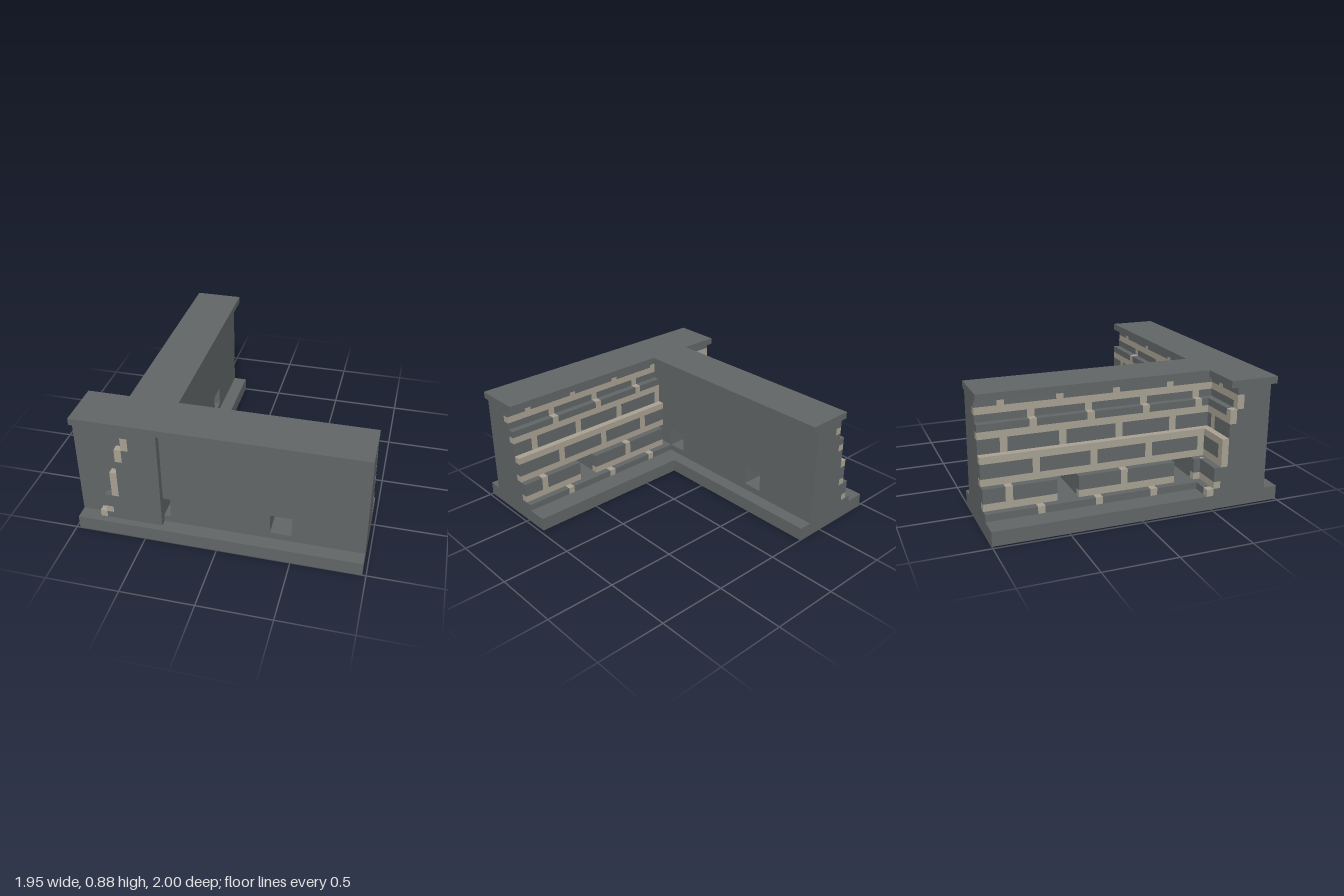
import * as THREE from 'three';
import { mergeGeometries } from 'three/addons/utils/BufferGeometryUtils.js';

const U = 2 / 41; // one cell of the building grid
const LENGTH = 40; // wall arm length in cells

const stone = new THREE.MeshStandardMaterial({ color: 0x626666 });
stone.name = 'dark grey stone';
const mortar = new THREE.MeshStandardMaterial({ color: 0xa8a193 });
mortar.name = 'beige mortar';

// Brick face steps outward toward the bottom: [bottom row, top row, face depth, first joint (null = mortar bed)]
const BANDS = [
  [2, 3, 11, 7],
  [3, 4, 10, null],
  [4, 6, 10, 3],
  [6, 7, 9, null],
  [7, 9, 9, 7],
  [9, 10, 9, null],
  [10, 12, 8, 3],
  [12, 13, 8, null],
  [13, 14, 8, 7],
  [14, 15, 7, 7],
  [15, 16, 7, null],
  [16, 17, 7, 3],
];

// Lengths of wall left between the two drain openings
const CUT_RUNS = [[0, 10], [13, 27], [30, LENGTH]];
const FULL_RUN = [[0, LENGTH]];

// Box in arm cells: depth c (outward is -x), row y, distance s along the arm (+z)
function block(c0, c1, y0, y1, s0, s1) {
  const g = new THREE.BoxGeometry((c1 - c0) * U, (y1 - y0) * U, (s1 - s0) * U);
  g.translate(-(c0 + c1) / 2 * U, (y0 + y1) / 2 * U, (s0 + s1) / 2 * U);
  return g;
}

function part(name, geometry, material) {
  const mesh = new THREE.Mesh(geometry, material);
  mesh.name = name;
  return mesh;
}

function armGeometries() {
  const core = [], bricks = [], joints = [];
  for (const [y0, y1, face, firstJoint] of BANDS) {
    const runs = y0 >= 3 && y1 <= 6 ? CUT_RUNS : FULL_RUN;
    for (const [s0, s1] of runs) {
      core.push(block(2, face - 1, y0, y1, s0, s1));
      if (firstJoint === null) {
        joints.push(block(face - 1, face, y0, y1, s0, s1));
        continue;
      }
      // Bricks split by one-cell upright joints every eight cells
      let start = s0;
      for (let j = firstJoint; j < s1; j += 8) {
        if (j < s0) continue;
        if (j > start) bricks.push(block(face - 1, face, y0, y1, start, j));
        joints.push(block(face - 1, face, y0, y1, j, j + 1));
        start = j + 1;
      }
      if (start < s1) bricks.push(block(face - 1, face, y0, y1, start, s1));
    }
  }
  return {
    core: mergeGeometries(core),
    bricks: mergeGeometries(bricks),
    joints: mergeGeometries(joints),
    cap: block(1, 8, 17, 18, 0, LENGTH),
  };
}

export function createModel() {
  const model = new THREE.Group();
  model.name = 'brickWallJunction';

  // L-shaped footing
  const plan = [[0, 0], [14, 0], [14, 27], [40, 27], [40, 41], [0, 41]]
    .map(([i, k]) => new THREE.Vector2((i - 20) * U, (20.5 - k) * U));
  const footing = new THREE.ExtrudeGeometry(new THREE.Shape(plan), { depth: 2 * U, bevelEnabled: false });
  footing.rotateX(-Math.PI / 2);
  model.add(part('footing', footing, stone));

  // Two identical arms at right angles
  const geo = armGeometries();
  const placements = [
    ['rearArm', -6 * U, -20.5 * U, 0],
    ['frontArm', 20 * U, 20.5 * U, -Math.PI / 2],
  ];
  for (const [name, x, z, turn] of placements) {
    const arm = new THREE.Group();
    arm.name = name;
    arm.add(
      part('wallCore', geo.core, stone),
      part('bricks', geo.bricks, stone),
      part('mortarJoints', geo.joints, mortar),
      part('capstone', geo.cap, stone),
    );
    arm.position.set(x, 0, z);
    arm.rotation.y = turn;
    model.add(arm);
  }
  return model;
}
